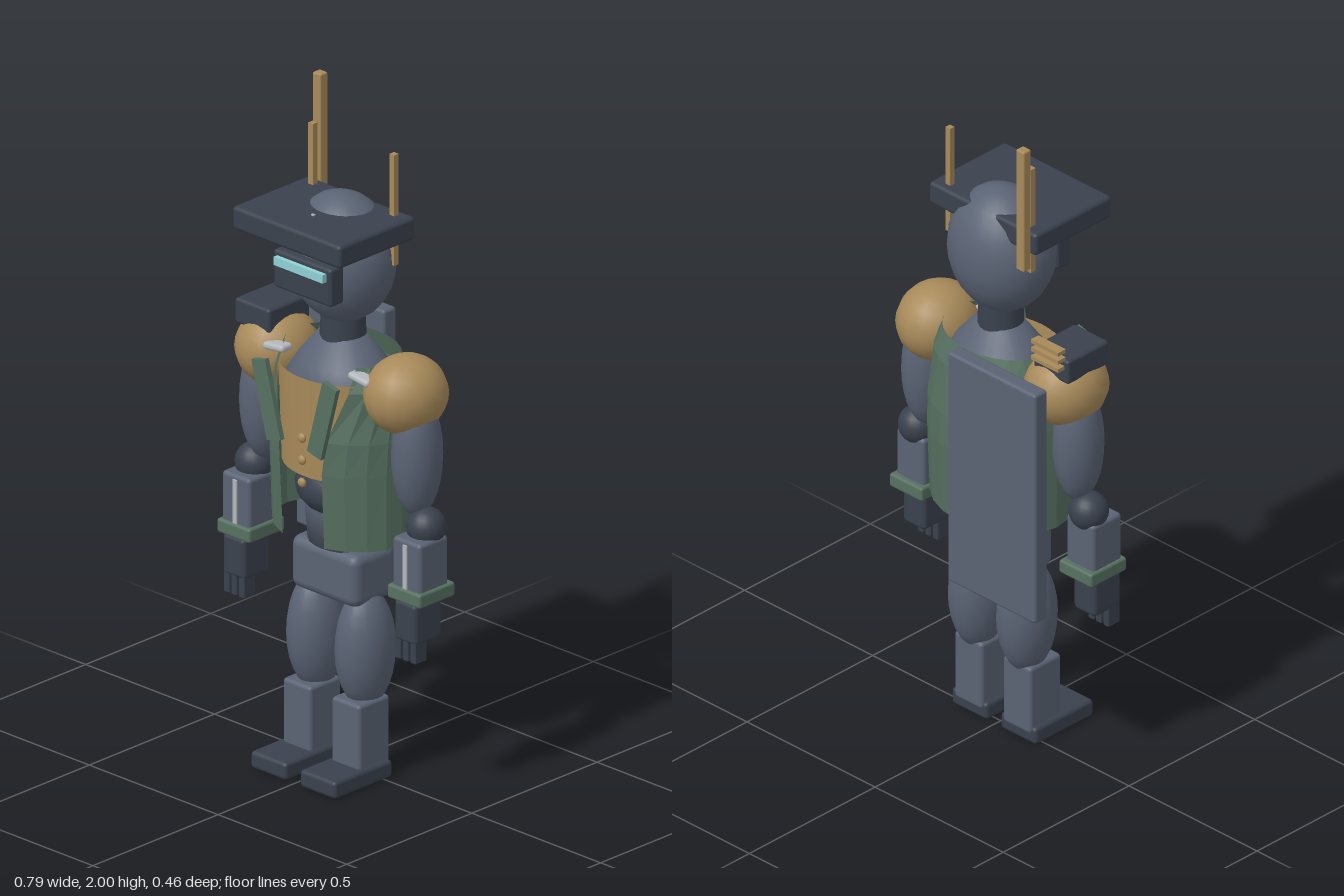
import * as THREE from 'three';
import { RoundedBoxGeometry } from 'three/addons/geometries/RoundedBoxGeometry.js';

const paint = (color, extra = {}) => new THREE.MeshStandardMaterial({ color, ...extra });
const slate = paint(0x5a6374);
const dark = paint(0x3a414d);
const gold = paint(0xa88a5a);
const goldCloth = paint(0xa88a5a, { side: THREE.DoubleSide });
const green = paint(0x567060, { flatShading: true, side: THREE.DoubleSide });
const trim = paint(0x567060);
const silver = paint(0xb4b8bc);
const glow = paint(0x8fd0d4);

export function createModel() {
  const model = new THREE.Group();

  function add(name, geometry, material, parent = model) {
    const mesh = new THREE.Mesh(geometry, material);
    mesh.name = name;
    parent.add(mesh);
    return mesh;
  }
  // Box given by its [min, max] extents, optionally with rounded edges
  function box(name, material, x, y, z, radius = 0, parent = model) {
    const size = [x, y, z].map(([a, b]) => b - a);
    const geometry = radius
      ? new RoundedBoxGeometry(...size, 2, radius)
      : new THREE.BoxGeometry(...size);
    const mesh = add(name, geometry, material, parent);
    mesh.position.set(...[x, y, z].map(([a, b]) => (a + b) / 2));
    return mesh;
  }
  function ellipsoid(name, material, centre, radii, parent = model, segments = 20) {
    const mesh = add(name, new THREE.SphereGeometry(1, segments, 14), material, parent);
    mesh.position.set(...centre);
    mesh.scale.set(...radii);
    return mesh;
  }

  // Head, cap brim and visor
  ellipsoid('head', slate, [0, 1.545, 0.004], [0.165, 0.192, 0.142], model, 24);
  box('capBrim', dark, [-0.21, 0.21], [1.63, 1.7], [-0.075, 0.23], 0.012);
  box('brimStud', silver, [-0.005, 0.005], [1.698, 1.704], [0.116, 0.124]);
  box('visor', dark, [-0.112, 0.112], [1.465, 1.58], [0.11, 0.165], 0.01);
  box('visorGlow', glow, [-0.095, 0.095], [1.54, 1.565], [0.155, 0.18]);
  for (const x of [-0.158, 0.158]) {
    box('capAerial', gold, [x - 0.009, x + 0.009], [1.55, 1.885], [-0.05, -0.032]);
  }
  box('tallAerial', gold, [-0.222, -0.19], [1.61, 2], [-0.135, -0.105], 0.005);
  const neck = add('neck', new THREE.CylinderGeometry(0.062, 0.068, 0.12, 20), dark);
  neck.position.set(0, 1.33, 0);

  // Torso: waist and chest
  const profile = [[0, 0.68], [0.11, 0.68], [0.118, 0.78], [0.14, 0.9], [0.17, 1.0],
    [0.182, 1.1], [0.175, 1.18], [0.14, 1.235], [0.075, 1.31], [0, 1.325]];
  const torso = add('torso', new THREE.LatheGeometry(
    profile.map(([r, y]) => new THREE.Vector2(r, y)), 24), slate);
  torso.scale.z = 0.8;
  ellipsoid('abdomen', dark, [0, 0.85, 0], [0.145, 0.09, 0.125]);
  box('pelvis', slate, [-0.13, 0.13], [0.525, 0.685], [-0.085, 0.085], 0.03);

  // Shirt front with buttons
  const shirt = add('shirtFront',
    new THREE.CylinderGeometry(0.195, 0.185, 0.3, 12, 1, true, -0.85, 1.7), goldCloth);
  shirt.position.y = 1.07;
  shirt.scale.z = 0.84;
  for (const y of [0.93, 0.998, 1.065]) {
    ellipsoid('button', gold, [0.042, y, 0.208], [0.014, 0.014, 0.009], model, 10);
  }

  // Open vest: rows of [height, half width, half depth, front opening angle]
  const rows = [[1.27, 0.185, 0.138, 0.85], [1.2, 0.212, 0.162, 0.72], [1.05, 0.225, 0.18, 0.42],
    [0.95, 0.226, 0.182, 0.37], [0.725, 0.222, 0.17, 0.37]];
  const vestGeometry = new THREE.CylinderGeometry(1, 1, 1, 18, rows.length - 1, true);
  const { position, uv } = vestGeometry.attributes;
  for (let i = 0; i < position.count; i++) {
    const [y, rx, rz, gap] = rows[Math.round((1 - uv.getY(i)) * (rows.length - 1))];
    const angle = gap + uv.getX(i) * (2 * Math.PI - 2 * gap);
    position.setXYZ(i, rx * Math.sin(angle), y, rz * Math.cos(angle));
  }
  vestGeometry.computeVertexNormals();
  add('vest', vestGeometry, green);

  // Paired parts, side = 1 is the model's left
  for (const side of [1, -1]) {
    const span = (a, b) => (side > 0 ? [a, b] : [-b, -a]);

    const lapel = box('lapel', trim, span(0.075, 0.13), [1.015, 1.25], [0.182, 0.198]);
    lapel.rotation.z = -side * 0.26;
    lapel.position.x = side * 0.108;
    const clasp = box('collarClasp', silver, span(0.125, 0.205), [1.236, 1.258], [0.07, 0.115], 0.01);
    clasp.rotation.z = -side * 0.12;

    // Arm
    const arm = new THREE.Group();
    arm.name = side > 0 ? 'leftArm' : 'rightArm';
    model.add(arm);
    ellipsoid('shoulderPad', gold, [side * 0.25, 1.2, 0.006], [0.115, 0.115, 0.126], arm, 16);
    ellipsoid('upperArm', slate, [side * 0.295, 1.03, 0.008], [0.07, 0.185, 0.077], arm);
    ellipsoid('elbow', dark, [side * 0.333, 0.823, 0.01], [0.057, 0.057, 0.057], arm);
    box('forearm', slate, span(0.277, 0.386), [0.63, 0.803], [-0.025, 0.09], 0.012, arm);
    box('forearmStripe', silver, span(0.322, 0.338), [0.64, 0.79], [0.085, 0.094], 0, arm);
    box('cuff', trim, span(0.267, 0.395), [0.615, 0.658], [-0.043, 0.1], 0.008, arm);
    box('hand', dark, span(0.29, 0.376), [0.495, 0.62], [-0.01, 0.098], 0.014, arm);
    for (const x of [0.304, 0.333, 0.362]) {
      box('finger', dark, span(x - 0.011, x + 0.011), [0.44, 0.51], [0.048, 0.095], 0.004, arm);
    }

    // Leg
    const leg = new THREE.Group();
    leg.name = side > 0 ? 'leftLeg' : 'rightLeg';
    model.add(leg);
    ellipsoid('thigh', slate, [side * 0.094, 0.385, 0.008], [0.08, 0.18, 0.093], leg);
    box('shin', slate, span(0.04, 0.15), [0.03, 0.245], [-0.035, 0.09], 0.012, leg);
    box('foot', dark, span(0.026, 0.165), [0, 0.053], [-0.03, 0.203], 0.012, leg);
  }

  // Shoulder pack with rear bars
  box('shoulderPack', dark, [-0.336, -0.2], [1.265, 1.342], [-0.075, 0.09], 0.01);
  for (const y of [1.318, 1.345, 1.371]) {
    box('packBar', gold, [-0.322, -0.215], [y - 0.006, y + 0.006], [-0.1, -0.07]);
  }

  // Back shield
  box('backShield', slate, [-0.362, -0.018], [0.565, 1.31], [-0.233, -0.182], 0.01);

  return model;
}
